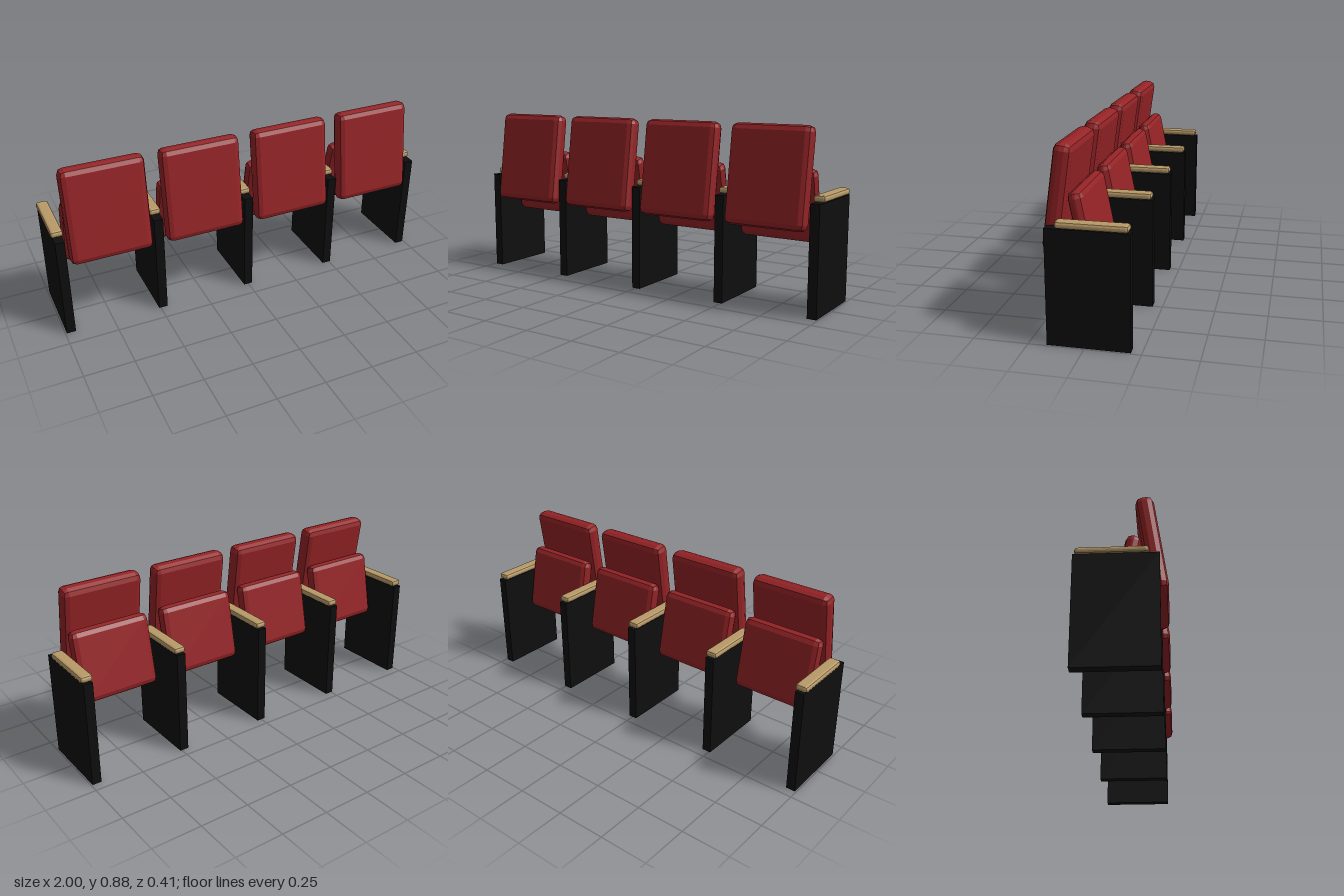
import * as THREE from 'three';
import { RoundedBoxGeometry } from 'three/addons/geometries/RoundedBoxGeometry.js';

const PITCH = 0.485; // spacing between side panels
const SEATS = 4;

const upholstery = new THREE.MeshStandardMaterial({ color: 0x942326 });
upholstery.name = 'red upholstery';
const black = new THREE.MeshStandardMaterial({ color: 0x0e0e0e });
black.name = 'black panel';
const wood = new THREE.MeshStandardMaterial({ color: 0xb89a68 });
wood.name = 'light wood';

// Box with two-facet bevelled edges
function bevelBox(w, h, d, r) {
  const g = new RoundedBoxGeometry(w, h, d, 1, r);
  g.computeVertexNormals();
  return g;
}

function add(parent, name, geometry, material, x, y, z, tilt = 0) {
  const mesh = new THREE.Mesh(geometry, material);
  mesh.name = name;
  mesh.position.set(x, y, z);
  mesh.rotation.x = THREE.MathUtils.degToRad(tilt);
  parent.add(mesh);
}

export function createModel() {
  const model = new THREE.Group();
  model.name = 'seatRow';

  const panelGeo = new THREE.BoxGeometry(0.046, 0.53, 0.371);
  const armGeo = bevelBox(0.06, 0.032, 0.317, 0.012);
  const backGeo = bevelBox(0.41, 0.482, 0.084, 0.03);
  const cushionGeo = bevelBox(0.41, 0.36, 0.07, 0.03);

  // Side panels, each topped by an armrest
  for (let i = 0; i <= SEATS; i++) {
    const x = (i - SEATS / 2) * PITCH;
    const stand = new THREE.Group();
    stand.name = 'stand';
    add(stand, 'sidePanel', panelGeo, black, x, 0.265, -0.0175);
    add(stand, 'armrest', armGeo, wood, x, 0.547, -0.0365);
    model.add(stand);
  }

  // Reclined backrests with folded-up seat cushions
  for (let i = 0; i < SEATS; i++) {
    const x = (i - (SEATS - 1) / 2) * PITCH;
    const seat = new THREE.Group();
    seat.name = 'seat';
    add(seat, 'backrest', backGeo, upholstery, x, 0.635, 0.132, -8);
    add(seat, 'foldedCushion', cushionGeo, upholstery, x, 0.495, 0.022, 11.3);
    model.add(seat);
  }
  return model;
}
